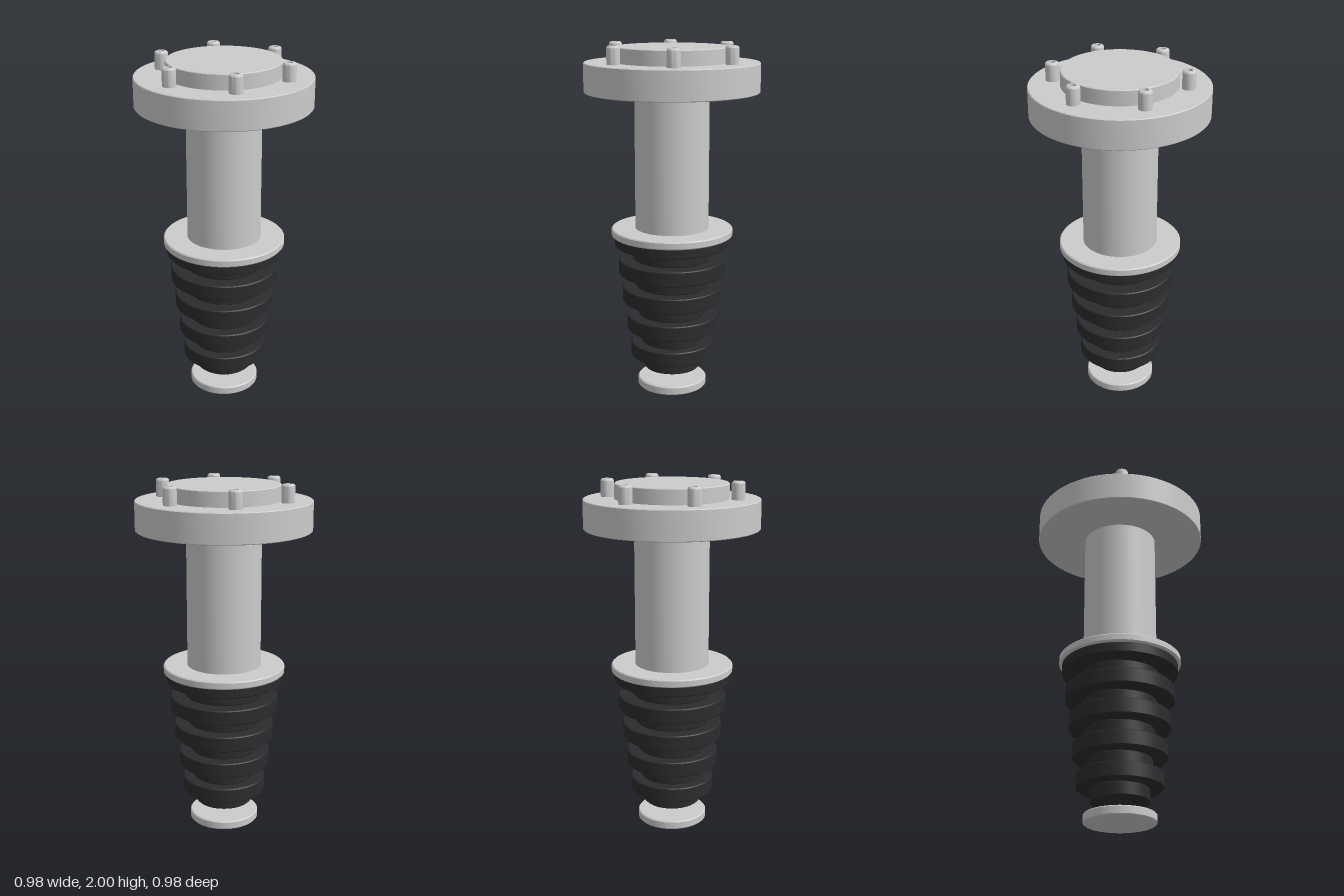
import * as THREE from 'three';
import { toCreasedNormals } from 'three/addons/utils/BufferGeometryUtils.js';

const SEGMENTS = 96;
const metal = new THREE.MeshStandardMaterial({ color: 0xcccccc });
const socketMetal = new THREE.MeshStandardMaterial({ color: 0xcccccc, side: THREE.DoubleSide });
const paleMetal = new THREE.MeshStandardMaterial({ color: 0xffffff });
const rubber = new THREE.MeshStandardMaterial({ color: 0x2c2c2e });

// Revolve [radius, height] pairs, listed from bottom to top
function turned(name, profile, material, segments = SEGMENTS) {
  const points = profile.map(([r, y]) => new THREE.Vector2(r, y));
  const geometry = toCreasedNormals(new THREE.LatheGeometry(points, segments), Math.PI / 5);
  const mesh = new THREE.Mesh(geometry, material);
  mesh.name = name;
  return mesh;
}

// Outer edge of a disc with small chamfers, without its end caps
const rim = (radius, bottom, top, b) => [
  [radius - b, bottom], [radius, bottom + b], [radius, top - b], [radius - b, top],
];

function disc(name, radius, bottom, top, material, bevel = 0.004) {
  return turned(name, [[0, bottom], ...rim(radius, bottom, top, bevel), [0, top]], material);
}

// Round-shouldered bolt with a hexagonal socket in its top
function createBolt() {
  const bolt = new THREE.Group();
  const radius = 0.037, shoulder = 0.013, top = 0.1, depth = 0.03, hex = 0.019;

  const profile = [[0, 0], [radius, 0]];
  for (let i = 0; i <= 6; i++) {
    const a = (i / 6) * Math.PI / 2;
    profile.push([radius - shoulder * (1 - Math.cos(a)), top - shoulder * (1 - Math.sin(a))]);
  }
  bolt.add(turned('boltBody', profile, metal, 32));

  const face = new THREE.Shape().absarc(0, 0, radius - shoulder, 0, Math.PI * 2);
  const hole = new THREE.Path();
  for (let i = 0; i <= 6; i++) {
    const a = Math.PI / 2 - i * Math.PI / 3;
    hole[i ? 'lineTo' : 'moveTo'](hex * Math.cos(a), hex * Math.sin(a));
  }
  face.holes.push(hole);
  const ring = new THREE.Mesh(new THREE.ShapeGeometry(face, 16).rotateX(-Math.PI / 2), metal);
  ring.name = 'boltTop';
  ring.position.y = top;

  const walls = new THREE.CylinderGeometry(hex, hex, depth, 6, 1, true);
  const socket = new THREE.Mesh(toCreasedNormals(walls, 0.3), socketMetal);
  socket.name = 'socketWalls';
  socket.position.y = top - depth / 2;

  const floorGeometry = new THREE.CircleGeometry(hex, 6, Math.PI / 2).rotateX(-Math.PI / 2);
  const floor = new THREE.Mesh(floorGeometry, metal);
  floor.name = 'socketFloor';
  floor.position.y = top - depth;

  bolt.add(ring, socket, floor);
  return bolt;
}

export function createModel() {
  const model = new THREE.Group();
  model.name = 'bellowsStrut';

  // Foot disc, set slightly below the bellows
  model.add(disc('footDisc', 0.2, 0, 0.05, paleMetal, 0.006));

  // Rubber bellows: alternating narrow necks and wide ribs as [radius, top]
  const steps = [
    [0.163, 0.19], [0.24, 0.275], [0.18, 0.355], [0.263, 0.442], [0.195, 0.524],
    [0.286, 0.612], [0.21, 0.691], [0.308, 0.778], [0.225, 0.858], [0.33, 0.917],
  ];
  const bellows = [[0, 0.114]];
  let bottom = 0.114;
  for (const [radius, top] of steps) {
    bellows.push(...rim(radius, bottom, top, 0.005));
    bottom = top;
  }
  bellows.push([0, bottom]);
  model.add(turned('bellows', bellows, rubber));

  // Collar, column, flange and raised cap
  model.add(disc('collar', 0.347, 0.916, 0.96, paleMetal, 0.006));
  model.add(disc('column', 0.21, 0.95, 1.745, metal));
  model.add(disc('flange', 0.49, 1.735, 1.9, metal));
  model.add(disc('cap', 0.316, 1.89, 1.985, metal));

  // Ring of six bolts around the cap
  for (let i = 0; i < 6; i++) {
    const a = i * Math.PI / 3;
    const bolt = createBolt();
    bolt.name = `bolt${i + 1}`;
    bolt.position.set(0.366 * Math.cos(a), 1.9, 0.366 * Math.sin(a));
    model.add(bolt);
  }
  return model;
}
